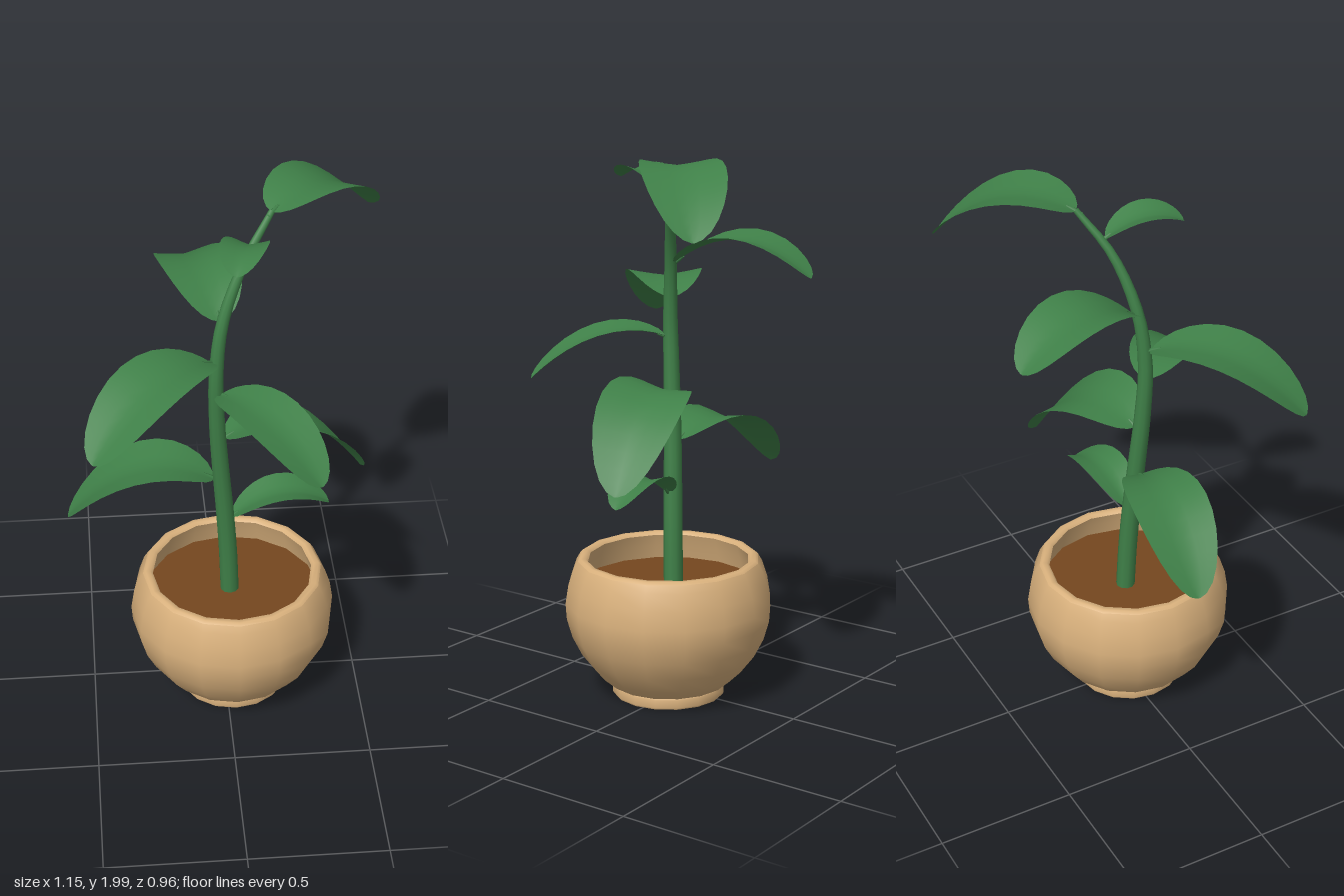
import * as THREE from 'three';

const V = (x, y, z) => new THREE.Vector3(x, y, z);

function material(name, color, side = THREE.FrontSide) {
  const m = new THREE.MeshStandardMaterial({ color, side });
  m.name = name;
  return m;
}

function add(group, name, geometry, mat) {
  const mesh = new THREE.Mesh(geometry, mat);
  mesh.name = name;
  group.add(mesh);
  return mesh;
}

// Round tube whose radius shrinks from r0 to r1, faster towards the end
function taperedTube(curve, segments, r0, r1, sides) {
  const geo = new THREE.TubeGeometry(curve, segments, 1, sides);
  const pos = geo.attributes.position;
  const p = V(0, 0, 0);
  for (let i = 0; i <= segments; i++) {
    const t = i / segments;
    const c = curve.getPointAt(t);
    const r = THREE.MathUtils.lerp(r0, r1, t * t);
    for (let j = 0; j <= sides; j++) {
      const k = i * (sides + 1) + j;
      p.fromBufferAttribute(pos, k).sub(c).multiplyScalar(r).add(c);
      pos.setXYZ(k, p.x, p.y, p.z);
    }
  }
  return geo;
}

// Arched oval blade, folded up slightly beside the midrib and rolled about it
function leafBlade(curve, halfWidth, fold, roll) {
  const rows = 14, cols = 6;
  const a = curve.getPoint(0), b = curve.getPoint(1);
  const level = V(b.z - a.z, 0, a.x - b.x).normalize();
  const positions = [], index = [];
  for (let i = 0; i <= rows; i++) {
    const u = i / rows;
    const t = 0.04 + 0.48 * (1 - Math.cos(Math.PI * u));
    const c = curve.getPoint(t);
    const tangent = curve.getTangent(t);
    const side = level.clone().applyAxisAngle(tangent, roll);
    const up = tangent.clone().cross(side).normalize();
    const w = Math.max(0.04, Math.sin(Math.PI * u));
    for (let j = 0; j <= cols; j++) {
      const v = (j / cols) * 2 - 1;
      const p = c.clone().addScaledVector(side, v * w * halfWidth)
        .addScaledVector(up, fold * w * Math.pow(Math.abs(v), 1.2));
      positions.push(p.x, p.y, p.z);
      if (i < rows && j < cols) {
        const k = i * (cols + 1) + j, n = k + cols + 1;
        index.push(k, n, k + 1, k + 1, n, n + 1);
      }
    }
  }
  const geo = new THREE.BufferGeometry();
  geo.setAttribute('position', new THREE.Float32BufferAttribute(positions, 3));
  geo.setIndex(index);
  geo.computeVertexNormals();
  return geo;
}

export function createModel() {
  const model = new THREE.Group();
  model.name = 'pottedPlant';
  const clay = material('clay', 0xd8b07c, THREE.DoubleSide);
  const soilBrown = material('soilBrown', 0x75471f);
  const green = material('leafGreen', 0x3f8048, THREE.DoubleSide);

  // Pot, made of separate lathed bands so the rim and foot stay crisp
  const pot = new THREE.Group();
  pot.name = 'pot';
  pot.position.set(0.028, 0, 0.03);
  model.add(pot);
  const lathe = (name, pts) =>
    add(pot, name, new THREE.LatheGeometry(pts.map(p => new THREE.Vector2(...p)), 16), clay);
  lathe('potBase', [[0, 0.005], [0.203, 0.005]]);
  lathe('potFoot', [[0.203, 0.005], [0.207, 0.012], [0.207, 0.04], [0.2, 0.047]]);
  lathe('potBody', [[0.19, 0.045], [0.22, 0.052], [0.27, 0.095], [0.32, 0.16], [0.355, 0.23],
    [0.375, 0.3], [0.379, 0.36], [0.368, 0.43], [0.348, 0.49], [0.332, 0.517]]);
  lathe('potRim', [[0.332, 0.517], [0.322, 0.526], [0.305, 0.526], [0.295, 0.515]]);
  lathe('potInside', [[0.295, 0.515], [0.31, 0.47], [0.325, 0.41]]);

  const soil = add(pot, 'soil', new THREE.CircleGeometry(0.325, 16), soilBrown);
  soil.rotation.x = -Math.PI / 2;
  soil.position.y = 0.418;

  // Leaning stem
  const stemCurve = new THREE.CatmullRomCurve3([
    V(0.02, 0.41, 0.014), V(0.013, 0.6, 0.02), V(0, 0.8, 0.03), V(-0.016, 1.0, 0.043),
    V(-0.029, 1.2, 0.057), V(-0.032, 1.4, 0.064), V(-0.008, 1.6, 0.045),
    V(0.07, 1.8, -0.01), V(0.17, 1.945, -0.095),
  ]);
  add(model, 'stem', taperedTube(stemCurve, 28, 0.035, 0.011, 10), green);

  // Leaves: base, tip, midrib height halfway, half width, roll
  const leaves = [
    ['lowerSmallLeaf', [0.015, 0.75, 0.03], [0.385, 0.785, -0.005], 0.849, 0.085, 0],
    ['lowerRightLeaf', [-0.02, 0.93, 0.04], [-0.568, 0.768, -0.02], 0.988, 0.138, 0],
    ['middleLeftLeaf', [-0.02, 1.11, 0.05], [0.51, 0.875, -0.1], 1.143, 0.15, -0.15],
    ['frontLeftLeaf', [-0.03, 1.32, 0.06], [0.298, 1.18, 0.44], 1.335, 0.122, 0],
    ['frontRightLeaf', [-0.035, 1.45, 0.06], [-0.47, 1.32, 0.45], 1.5, 0.14, 0],
    ['backLeaf', [-0.01, 1.58, 0.05], [-0.135, 1.57, -0.46], 1.69, 0.138, 0],
    ['upperSmallLeaf', [0.1, 1.845, -0.03], [0.022, 1.89, 0.24], 1.92, 0.08, 0],
    ['topLeaf', [0.155, 1.93, -0.08], [0.552, 1.772, -0.45], 1.965, 0.142, 0],
  ];
  for (const [name, base, tip, mid, halfWidth, roll] of leaves) {
    const a = V(...base), b = V(...tip);
    const control = a.clone().lerp(b, 0.5);
    control.y = 2 * mid - (a.y + b.y) / 2;
    const rib = new THREE.QuadraticBezierCurve3(a, control, b);
    const leaf = new THREE.Group();
    leaf.name = name;
    add(leaf, 'blade', leafBlade(rib, halfWidth, 0.023, roll), green);
    const stalk = new THREE.CatmullRomCurve3([0, 0.05, 0.1].map(t => rib.getPoint(t)));
    add(leaf, 'stalk', taperedTube(stalk, 4, 0.009, 0.004, 6), green);
    model.add(leaf);
  }
  return model;
}
